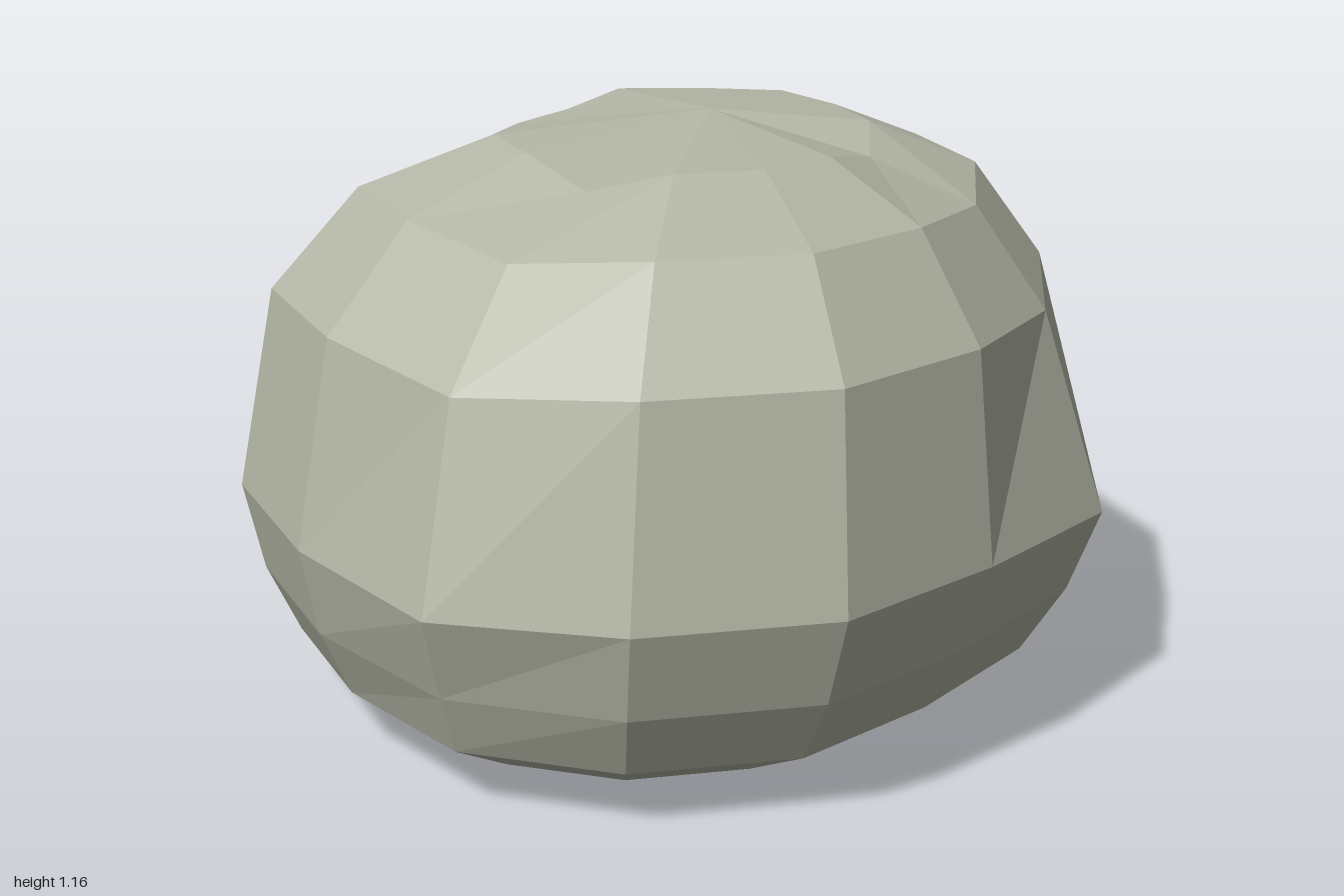
import * as THREE from 'three';

// Widest outline of the boulder, [x, z] around the vertical axis
const outline = [
  [0.85, 0.37], [0.56, 0.70], [0.25, 0.95], [-0.14, 1.0], [-0.50, 0.85], [-0.73, 0.50], [-0.86, 0.09],
  [-0.80, -0.36], [-0.53, -0.66], [-0.22, -1.0], [0.17, -0.98], [0.56, -0.88], [0.76, -0.50], [0.855, -0.09],
];

// Stacked rings: height, scale of the outline, x/z shift, and dents as column: [inward pull, drop]
const rings = [
  { y: 0.00, s: 0.62, dx: -0.035, dz: 0.015, dents: {} },
  { y: 0.12, s: 0.85, dx: -0.02, dz: 0.02, dents: {} },
  { y: 0.255, s: 0.94, dx: -0.01, dz: 0.005, dents: { 4: [0.98, 0.01] } },
  { y: 0.435, s: 1.00, dx: 0, dz: 0, dents: { 0: [1, 0.015], 4: [1, 0.015], 13: [1, -0.01] } },
  { y: 0.84, s: 0.93, dx: 0.015, dz: -0.01, dents: { 0: [0.91, 0.02], 4: [0.98, 0.03], 7: [0.82, 0.02], 8: [0.91, 0.02] } },
  { y: 1.04, s: 0.74, dx: 0.03, dz: -0.01, dents: { 0: [0.91, 0.02], 4: [0.97, 0.03], 7: [0.87, 0.03], 8: [0.86, 0.03] } },
  { y: 1.135, s: 0.45, dx: 0.05, dz: -0.01, dents: { 0: [0.93, 0.035], 4: [1, 0.045], 7: [0.92, 0.015], 8: [0.92, 0.01] } },
];

// The quad beside the chipped corner is split along its other diagonal
const CHIP_BAND = 3;
const CHIP_COLUMN = 8;

function ringPoint({ y, s, dx, dz, dents }, j) {
  const [pull, drop] = dents[j] ?? [1, 0];
  const [x, z] = outline[j];
  return [x * s * pull + dx, y - drop, z * s * pull + dz];
}

function boulderGeometry() {
  const n = outline.length;
  const positions = [];
  const index = [];
  for (const ring of rings) {
    for (let j = 0; j < n; j++) positions.push(...ringPoint(ring, j));
  }
  const base = rings.length * n;
  const peak = base + 1;
  positions.push(-0.03, 0, 0, 0.11, 1.16, -0.08);

  for (let j = 0; j < n; j++) {
    const k = (j + 1) % n;
    // Side bands
    for (let i = 0; i < rings.length - 1; i++) {
      const a = i * n + j, b = i * n + k, c = a + n, d = b + n;
      if (i === CHIP_BAND && j === CHIP_COLUMN) index.push(a, d, b, a, c, d);
      else index.push(a, c, b, c, d, b);
    }
    // Flat underside and low peak
    const top = (rings.length - 1) * n;
    index.push(base, j, k, peak, top + k, top + j);
  }

  const geometry = new THREE.BufferGeometry();
  geometry.setAttribute('position', new THREE.Float32BufferAttribute(positions, 3));
  geometry.setIndex(index);
  // Unshared corners give flat facets
  const faceted = geometry.toNonIndexed();
  faceted.computeVertexNormals();
  return faceted;
}

export function createModel() {
  const stone = new THREE.MeshStandardMaterial({ color: 0xb4b7a6 });
  stone.name = 'greyStone';

  const boulder = new THREE.Mesh(boulderGeometry(), stone);
  boulder.name = 'boulder';

  const group = new THREE.Group();
  group.name = 'rock';
  group.add(boulder);
  return group;
}
